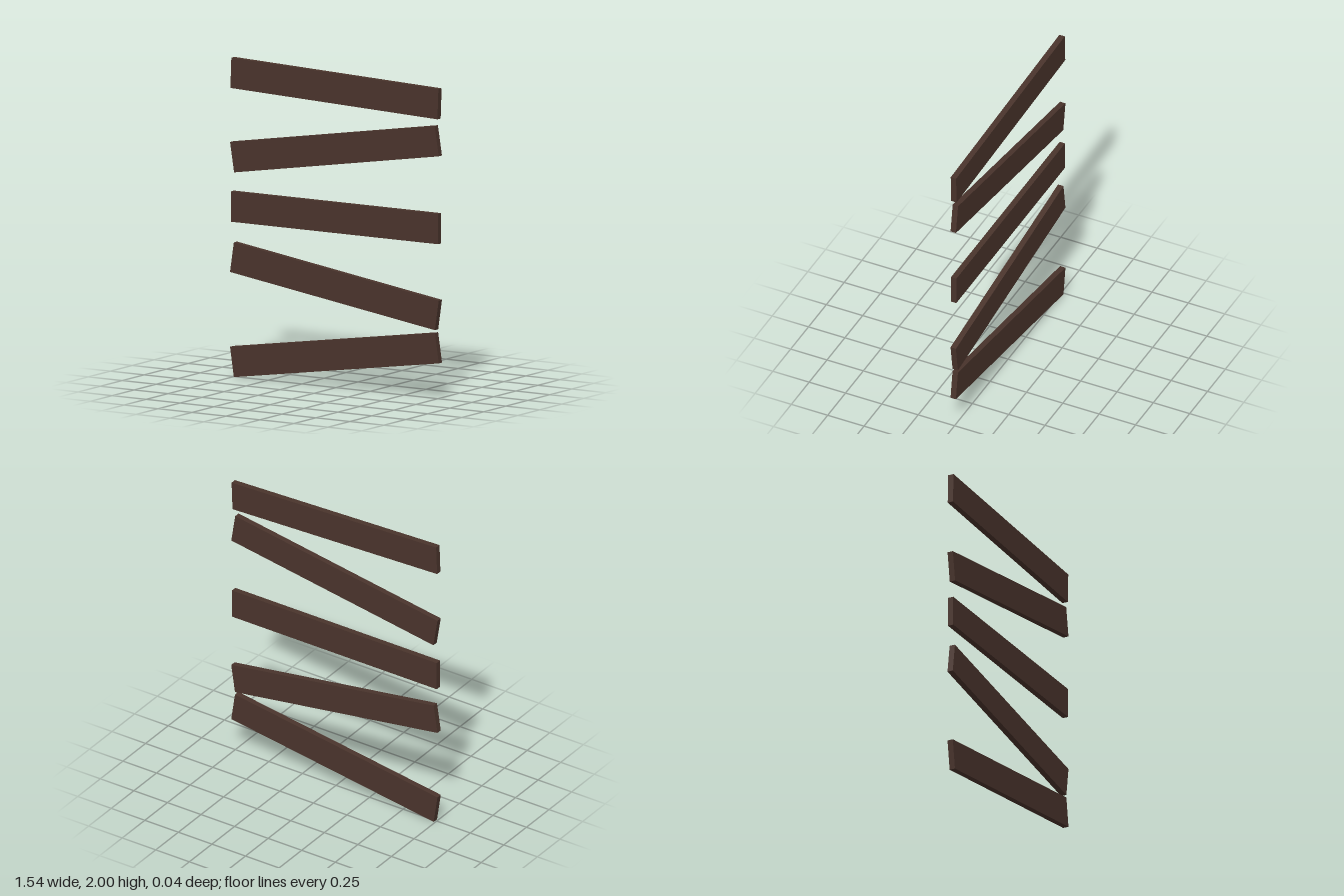
import * as THREE from 'three';

export function createModel() {
  const group = new THREE.Group();
  group.name = 'boardedPlanks';
  const darkWood = new THREE.MeshStandardMaterial({ color: 0x4a342c });
  darkWood.name = 'darkWood';

  // one board, shared by all five planks
  const board = new THREE.BoxGeometry(1.525, 0.19, 0.037);

  // centre height and tilt in degrees, from the bottom up
  const planks = [[0.207, 8.5], [0.638, -8.5], [1.067, 0], [1.497, 9.05], [1.877, -2.1]];
  planks.forEach(([y, tilt], i) => {
    const plank = new THREE.Mesh(board, darkWood);
    plank.name = `plank${i + 1}`;
    plank.position.y = y;
    plank.rotation.z = THREE.MathUtils.degToRad(tilt);
    group.add(plank);
  });
  return group;
}
